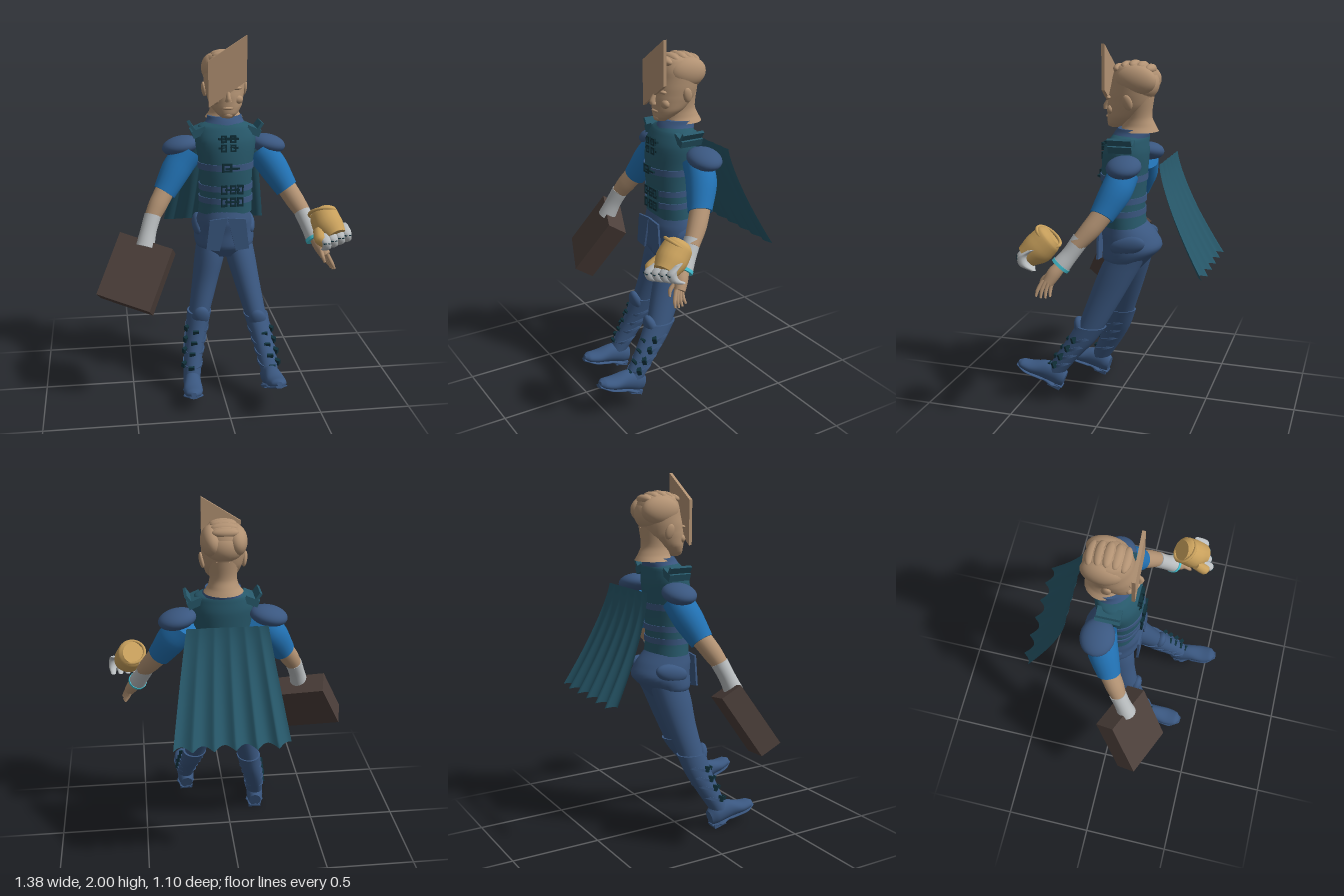
import * as THREE from 'three';

const mat = (name, color, side = THREE.FrontSide) => {
  const m = new THREE.MeshStandardMaterial({ color, side });
  m.name = name;
  return m;
};
const V = (x, y, z) => new THREE.Vector3(x, y, z);
const X = V(1, 0, 0), Y = V(0, 1, 0), Z = V(0, 0, 1);
const CX = 0.045; // body centre line

// Smooth closed skin through elliptical sections [x, y, z, radiusU, radiusW]
function loft(sections, U = X, W = Z, seg = 28) {
  const mid = new THREE.CatmullRomCurve3(sections.map(s => V(s[0], s[1], s[2])));
  const rad = new THREE.CatmullRomCurve3(sections.map(s => V(s[3], s[4] ?? s[3], 0)));
  const n = (sections.length - 1) * 5, pos = [], idx = [];
  const point = (c, r, j) => {
    const a = j / seg * Math.PI * 2;
    const p = c.clone().addScaledVector(U, r.x * Math.cos(a)).addScaledVector(W, r.y * Math.sin(a));
    pos.push(p.x, p.y, p.z);
  };
  const axis = mid.getPoint(1).sub(mid.getPoint(0));
  const flip = axis.dot(U.clone().cross(W)) < 0;
  const tri = (a, b, c) => flip ? idx.push(a, c, b) : idx.push(a, b, c);
  for (let i = 0; i <= n; i++) for (let j = 0; j < seg; j++) point(mid.getPoint(i / n), rad.getPoint(i / n), j);
  for (let i = 0; i < n; i++) for (let j = 0; j < seg; j++) {
    const a = i * seg + j, b = i * seg + (j + 1) % seg;
    tri(a, b, b + seg);
    tri(a, b + seg, a + seg);
  }
  for (const t of [0, 1]) { // end caps
    const c = mid.getPoint(t), base = pos.length / 3;
    pos.push(c.x, c.y, c.z);
    for (let j = 0; j < seg; j++) point(c, rad.getPoint(t), j);
    for (let j = 0; j < seg; j++) {
      const a = base + 1 + j, b = base + 1 + (j + 1) % seg;
      t ? tri(base, a, b) : tri(base, b, a);
    }
  }
  const g = new THREE.BufferGeometry();
  g.setAttribute('position', new THREE.Float32BufferAttribute(pos, 3));
  g.setIndex(idx);
  g.computeVertexNormals();
  return g;
}

// Round limb whose sections are square to its overall direction
function limb(sections, seg = 20) {
  const a = sections[0], b = sections[sections.length - 1];
  const d = V(b[0] - a[0], b[1] - a[1], b[2] - a[2]).normalize();
  const U = d.clone().cross(Z).normalize();
  return loft(sections, U, d.clone().cross(U), seg);
}

export function createModel() {
  const model = new THREE.Group();
  const navy = mat('navy cloth', 0x3a5780), teal = mat('teal leather', 0x27586a, THREE.DoubleSide);
  const blue = mat('blue sleeve', 0x2272b4), skin = mat('skin', 0xb29273);
  const grey = mat('pale metal', 0xb9bdbf), gold = mat('gold', 0xc8a05c);
  const cyan = mat('cyan gem', 0x45c4d6), brown = mat('brown', 0x4c3f3a), dark = mat('dark buckle', 0x10303a);
  const add = (name, g, m, p, r, s, parent = model) => {
    const mesh = new THREE.Mesh(g, m);
    mesh.name = name;
    if (p) mesh.position.set(...p);
    if (r) mesh.rotation.set(...r);
    if (s) mesh.scale.set(...s);
    parent.add(mesh);
    return mesh;
  };
  const ball = (name, m, p, s, r) => add(name, new THREE.SphereGeometry(1, 24, 16), m, p, r, s);
  const box = (name, m, p, s, r, parent) => add(name, new THREE.BoxGeometry(...s), m, p, r, null, parent);

  // Head, neck and hair
  add('head', loft([[0.04, 1.905, -0.08, 0.03, 0.04], [0.04, 1.88, -0.08, 0.085, 0.1], [0.042, 1.81, -0.08, 0.115, 0.122],
    [0.042, 1.74, -0.065, 0.113, 0.122], [0.043, 1.68, -0.05, 0.104, 0.118], [0.045, 1.62, -0.02, 0.087, 0.09],
    [0.046, 1.58, 0.01, 0.058, 0.058], [0.046, 1.557, 0.025, 0.03, 0.025]]), skin);
  add('neck', loft([[0.045, 1.72, -0.1, 0.085, 0.085], [0.045, 1.62, -0.1, 0.072, 0.075],
    [0.045, 1.57, -0.105, 0.082, 0.09], [0.045, 1.54, -0.108, 0.105, 0.103]]), skin);
  add('nose', loft([[0.045, 1.715, 0.055, 0.01, 0.012], [0.045, 1.67, 0.075, 0.014, 0.02], [0.045, 1.65, 0.072, 0.02, 0.022]], X, Z, 12), skin);
  ball('lips', skin, [0.045, 1.613, 0.062], [0.03, 0.009, 0.016]);
  ball('chin', skin, [0.046, 1.575, 0.05], [0.026, 0.02, 0.02]);
  for (const s of [-1, 1]) {
    ball('ear', skin, [0.042 + s * 0.112, 1.7, -0.07], [0.014, 0.042, 0.026], [0.25, 0, s * -0.15]);
    ball('brow', skin, [0.045 + s * 0.043, 1.718, 0.045], [0.034, 0.01, 0.016]);
    ball('cheek', skin, [0.045 + s * 0.055, 1.655, 0.035], [0.03, 0.025, 0.022]);
    ball('hairSide', skin, [0.042 + s * 0.062, 1.81, -0.1], [0.06, 0.08, 0.11]);
  }
  ball('hairBack', skin, [0.042, 1.79, -0.12], [0.105, 0.09, 0.092]);
  for (let i = 0; i < 5; i++)
    ball('hairTuft', skin, [0.04, 1.868 + 0.02 * Math.sin(i / 4 * Math.PI), 0.005 - i * 0.042], [0.07, 0.026, 0.03]);

  // Slanted plate before the brow
  const plate = new THREE.Shape([[-0.065, 1.865], [-0.06, 1.62], [0.145, 1.76], [0.145, 2]].map(p => new THREE.Vector2(...p)));
  add('brow plate', new THREE.ExtrudeGeometry(plate, { depth: 0.018, bevelEnabled: false }), skin, [0, 0, 0.056]);

  // Vest, collar and belts
  add('vest', loft([[CX, 1.53, -0.06, 0.085, 0.085], [CX, 1.5, -0.05, 0.15, 0.1], [CX, 1.42, -0.035, 0.168, 0.123],
    [CX, 1.3, -0.025, 0.152, 0.124], [CX, 1.18, -0.022, 0.146, 0.118], [CX, 1.09, -0.025, 0.148, 0.112],
    [0.042, 1.02, -0.03, 0.152, 0.115]], X, Z, 36), teal);
  add('collar', loft([[CX, 1.555, -0.075, 0.095, 0.085], [CX, 1.535, -0.07, 0.1, 0.095], [CX, 1.51, -0.06, 0.115, 0.1]]), navy);
  for (const [y, h, rx, rz] of [[1.29, 0.035, 0.157, 0.128], [1.17, 0.032, 0.152, 0.123], [1.1, 0.032, 0.153, 0.119]]) {
    add('belt', new THREE.CylinderGeometry(1, 1, h, 36), navy, [CX, y, -0.023], null, [rx, 1, rz]);
    box('beltEdge', dark, [CX + 0.02, y, rz - 0.022], [0.08, 0.01, 0.014]);
  }
  // Buckles on the front
  const buckle = (x, y, z, w, h) => {
    const o = new THREE.Shape([[-w, -h], [w, -h], [w, h], [-w, h]].map(p => new THREE.Vector2(...p)));
    o.holes.push(new THREE.Path([[-w, -h], [-w, h], [w, h], [w, -h]].map(p => new THREE.Vector2(p[0] * 0.55, p[1] * 0.55))));
    add('buckle', new THREE.ExtrudeGeometry(o, { depth: 0.014, bevelEnabled: false }), dark, [x, y, z]);
  };
  for (const y of [1.45, 1.4]) {
    box('clasp strap', dark, [CX, y, 0.083], [0.11, 0.012, 0.014]);
    buckle(0.02, y, 0.082, 0.016, 0.02);
    buckle(0.07, y, 0.082, 0.016, 0.02);
  }
  buckle(0.035, 1.295, 0.1, 0.028, 0.024);
  for (const y of [1.17, 1.1]) for (const x of [0.02, 0.07, 0.11]) buckle(x, y, 0.092, 0.017, 0.026);

  // Jacket skirt with front flaps and side pockets
  add('jacket skirt', loft([[0.04, 1.04, -0.025, 0.14, 0.11], [0.04, 0.97, -0.05, 0.157, 0.152], [0.04, 0.9, -0.07, 0.17, 0.165],
    [0.04, 0.83, -0.04, 0.165, 0.135], [0.04, 0.77, -0.03, 0.1, 0.09]], X, Z, 32), navy);
  for (const s of [-1, 1]) {
    const f = new THREE.Shape([[0, 1.01], [s * 0.1, 1], [s * 0.12, 0.83], [s * 0.045, 0.82]].map(p => new THREE.Vector2(...p)));
    add('front flap', new THREE.ExtrudeGeometry(f, { depth: 0.012, bevelEnabled: false }), navy, [0.04, 0, 0.094]);
    ball('pocket flap', navy, [0.04 + s * 0.145, 0.93, -0.08], [0.035, 0.05, 0.1], [0.25, 0, 0]);
    // Shoulder wing, pad
    box('shoulder wing', teal, [CX + s * 0.18, 1.49, -0.05], [0.016, 0.07, 0.13], [0, 0, s * -0.6]);
    box('shoulder strap', teal, [CX + s * 0.15, 1.475, -0.05], [0.08, 0.04, 0.13], [0, 0, s * -0.4]);
    ball('shoulder pad', navy, [CX + s * 0.245, 1.385, -0.09], [0.104, 0.053, 0.092], [0, 0, s * -0.2]);
    // Sleeve
    const e = s > 0 ? 0.39 : -0.3, ez = s > 0 ? 0 : -0.01;
    add('sleeve', limb([[CX + s * 0.2, 1.35, -0.08, 0.082], [CX + s * 0.265, 1.27, -0.06, 0.083], [e, 1.14, ez, 0.065]]), blue);
  }

  // Forearms and cuffs
  add('right forearm', limb([[-0.29, 1.16, -0.015, 0.055], [-0.34, 1.08, 0.03, 0.052], [-0.385, 1, 0.07, 0.04]]), skin);
  add('right cuff', limb([[-0.37, 1.03, 0.055, 0.047], [-0.395, 0.96, 0.085, 0.045], [-0.42, 0.87, 0.12, 0.052]]), grey);
  add('left forearm', limb([[0.38, 1.16, -0.01, 0.055], [0.43, 1.08, 0.045, 0.052], [0.48, 1, 0.11, 0.04]]), skin);
  add('left cuff', limb([[0.46, 1.03, 0.09, 0.046], [0.488, 0.96, 0.135, 0.044], [0.515, 0.9, 0.18, 0.05]]), grey);
  add('cuff trim', limb([[0.513, 0.905, 0.176, 0.053], [0.518, 0.893, 0.186, 0.053]]), cyan);

  // Bare left hand
  add('left hand', limb([[0.515, 0.9, 0.18, 0.03], [0.54, 0.86, 0.21, 0.036], [0.565, 0.815, 0.235, 0.03]]), skin);
  for (let i = 0; i < 4; i++) {
    const d = (i - 1.5) * 0.016;
    add('finger', limb([[0.562 + d * 0.3, 0.83, 0.235 + d, 0.011], [0.583 + d * 0.4, 0.78, 0.25 + d * 1.3, 0.01],
      [0.6 + d * 0.3, 0.738 + Math.abs(d) * 0.5, 0.25 + d * 1.5, 0.006]], 8), skin);
  }
  add('thumb', limb([[0.535, 0.86, 0.23, 0.013], [0.54, 0.82, 0.275, 0.011], [0.55, 0.79, 0.285, 0.007]], 8), skin);

  // Floating gauntlet
  add('gauntlet', limb([[0.535, 1.06, 0.215, 0.06], [0.545, 1.045, 0.235, 0.078], [0.56, 1, 0.28, 0.083], [0.59, 0.955, 0.34, 0.06]]), gold);
  add('gauntlet rim', new THREE.TorusGeometry(0.072, 0.009, 8, 28), gold, [0.54, 1.058, 0.235], [0.9, 0, 0.1]);
  add('gauntlet thumb', limb([[0.5, 0.99, 0.31, 0.03], [0.5, 0.95, 0.365, 0.032], [0.525, 0.92, 0.385, 0.02]], 12), gold);
  add('gauntlet gem', new THREE.OctahedronGeometry(1), cyan, [0.57, 1.03, 0.34], [-0.6, 0.1, 0], [0.028, 0.042, 0.012]);
  for (let i = 0; i < 4; i++) {
    const x = 0.525 + i * 0.042, y = 0.95 + i * 0.008, z = 0.375 - i * 0.018;
    add('metal finger', limb([[x - 0.005, y + 0.035, z - 0.03, 0.018], [x, y, z + 0.015, 0.025], [x + 0.006, y - 0.04, z + 0.005, 0.024],
      [x + 0.004, y - 0.068, z - 0.045, 0.014]], 12), grey);
    box('knuckle line', dark, [x, y - 0.01, z + 0.036], [0.036, 0.005, 0.008]);
  }

  // Box held in the right hand
  const d = V(-0.39, -0.82, 0.43).normalize(), b = V(0.9, -0.235, 0.37);
  b.addScaledVector(d, -b.dot(d)).normalize();
  const held = box('held box', brown, [0, 0, 0], [0.31, 0.364, 0.12]);
  held.applyMatrix4(new THREE.Matrix4().makeBasis(b, d.clone().negate(), b.clone().cross(d.clone().negate())));
  held.position.set(-0.472, 0.728, 0.155);

  // Legs, boots and feet
  const legs = [
    { side: 'left', s: 1, pitch: 0.38, yaw: 0.06, ankle: [0.245, 0.21, 0.32],
      thigh: [[0.115, 0.88, -0.07, 0.08, 0.11], [0.125, 0.78, -0.02, 0.084, 0.108], [0.157, 0.62, 0.05, 0.073, 0.094], [0.195, 0.45, 0.125, 0.06, 0.075]],
      boot: [[0.198, 0.45, 0.125, 0.069, 0.087], [0.216, 0.36, 0.185, 0.061, 0.08], [0.234, 0.27, 0.255, 0.054, 0.066], [0.245, 0.18, 0.32, 0.048, 0.058]] },
    { side: 'right', s: -1, pitch: 0.26, yaw: -0.06, ankle: [-0.175, 0.135, 0.19],
      thigh: [[-0.03, 0.88, -0.07, 0.08, 0.11], [-0.042, 0.78, -0.04, 0.084, 0.108], [-0.075, 0.62, -0.005, 0.073, 0.09], [-0.113, 0.45, 0.04, 0.06, 0.075]],
      boot: [[-0.115, 0.45, 0.04, 0.069, 0.086], [-0.137, 0.34, 0.075, 0.061, 0.08], [-0.158, 0.24, 0.12, 0.054, 0.07], [-0.175, 0.11, 0.19, 0.048, 0.056]] }];
  for (const { side, s, pitch, yaw, ankle, thigh, boot } of legs) {
    add(side + ' trouser leg', loft(thigh), navy);
    add(side + ' boot shaft', loft(boot), navy);
    const [kx, ky, kz] = boot[0];
    ball(side + ' knee guard', navy, [kx, ky - 0.02, kz + 0.06], [0.05, 0.07, 0.035], [0.35, 0, s * 0.15]);
    // Straps and buckles down the shin
    const mid = new THREE.CatmullRomCurve3(boot.map(p => V(p[0], p[1], p[2])));
    for (let i = 0; i < 4; i++) {
      const t = 0.25 + i * 0.19, p = mid.getPoint(t), r = 0.071 - t * 0.017;
      add('boot strap', new THREE.CylinderGeometry(1, 1, 0.016, 24), navy, [p.x, p.y, p.z], [0.3, 0, 0], [r, 1, r * 1.24]);
      box('boot buckle', dark, [p.x + s * r * 0.85, p.y, p.z + r * 0.5], [0.022, 0.032, 0.034], [0.3, s * 0.9, 0]);
      box('boot buckle', dark, [p.x + s * 0.015, p.y - 0.012, p.z + r * 1.22], [0.034, 0.022, 0.014], [0.3, 0, 0]);
    }
    const foot = new THREE.Group();
    foot.name = side + ' foot';
    foot.position.set(...ankle);
    foot.rotation.set(-pitch, yaw, 0, 'YXZ');
    add('shoe', loft([[0, -0.06, -0.075, 0.036, 0.045], [0, -0.05, -0.03, 0.049, 0.062], [0, -0.055, 0.05, 0.048, 0.055],
      [0, -0.077, 0.13, 0.053, 0.035], [0, -0.083, 0.185, 0.042, 0.025], [0, -0.085, 0.208, 0.015, 0.012]], X, Y), navy, null, null, null, foot);
    add('sole', loft([[0, -0.104, -0.08, 0.03, 0.008], [0, -0.106, -0.04, 0.044, 0.01], [0, -0.106, 0.05, 0.044, 0.01],
      [0, -0.104, 0.14, 0.056, 0.009], [0, -0.1, 0.21, 0.022, 0.008]], X, Y), navy, null, null, null, foot);
    box('heel', navy, [0, -0.11, -0.035], [0.075, 0.024, 0.075], null, foot);
    model.add(foot);
  }

  // Rippled cape hanging clear of the back
  const cape = new THREE.PlaneGeometry(1, 1, 72, 16), cp = cape.attributes.position;
  for (let i = 0; i < cp.count; i++) {
    const u = cp.getX(i), v = 0.5 - cp.getY(i);
    const ripple = Math.abs(Math.sin(Math.PI * (u + 0.5) * 5.5 + 1.2)) - 0.5;
    cp.setXYZ(i, 0.04 + u * (0.425 + 0.195 * v), 1.4 - 0.57 * v + 0.015 * v * ripple, -0.27 - 0.25 * v ** 1.35 + (0.004 + 0.04 * v) * ripple);
  }
  cape.computeVertexNormals();
  add('cape', cape, teal);
  return model;
}
